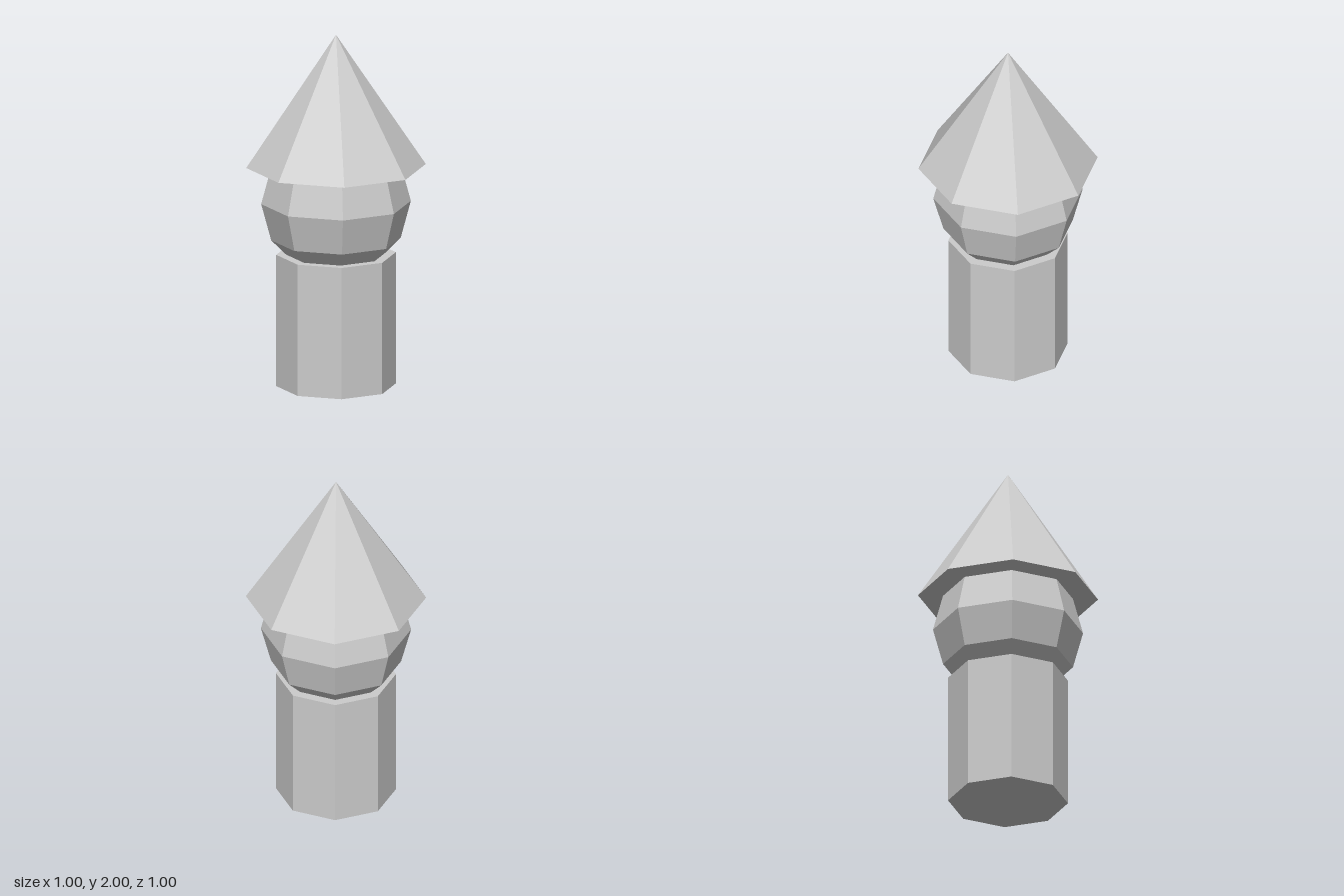
import * as THREE from 'three';

const SIDES = 8;

export function createModel() {
  const model = new THREE.Group();
  const material = new THREE.MeshStandardMaterial({ color: 0xcccccc, flatShading: true });

  const add = (name, geometry, y) => {
    const mesh = new THREE.Mesh(geometry, material);
    mesh.name = name;
    mesh.position.y = y;
    model.add(mesh);
  };

  // Octagonal column standing on the ground
  add('body', new THREE.CylinderGeometry(0.333, 0.333, 0.75, SIDES), 0.375);
  // Faceted ball sunk into the column and the cone
  add('head', new THREE.SphereGeometry(0.4167, SIDES, 6), 1.0417);
  // Pointed cone with a closed underside
  add('hat', new THREE.ConeGeometry(0.5, 0.75, SIDES), 1.625);

  return model;
}
